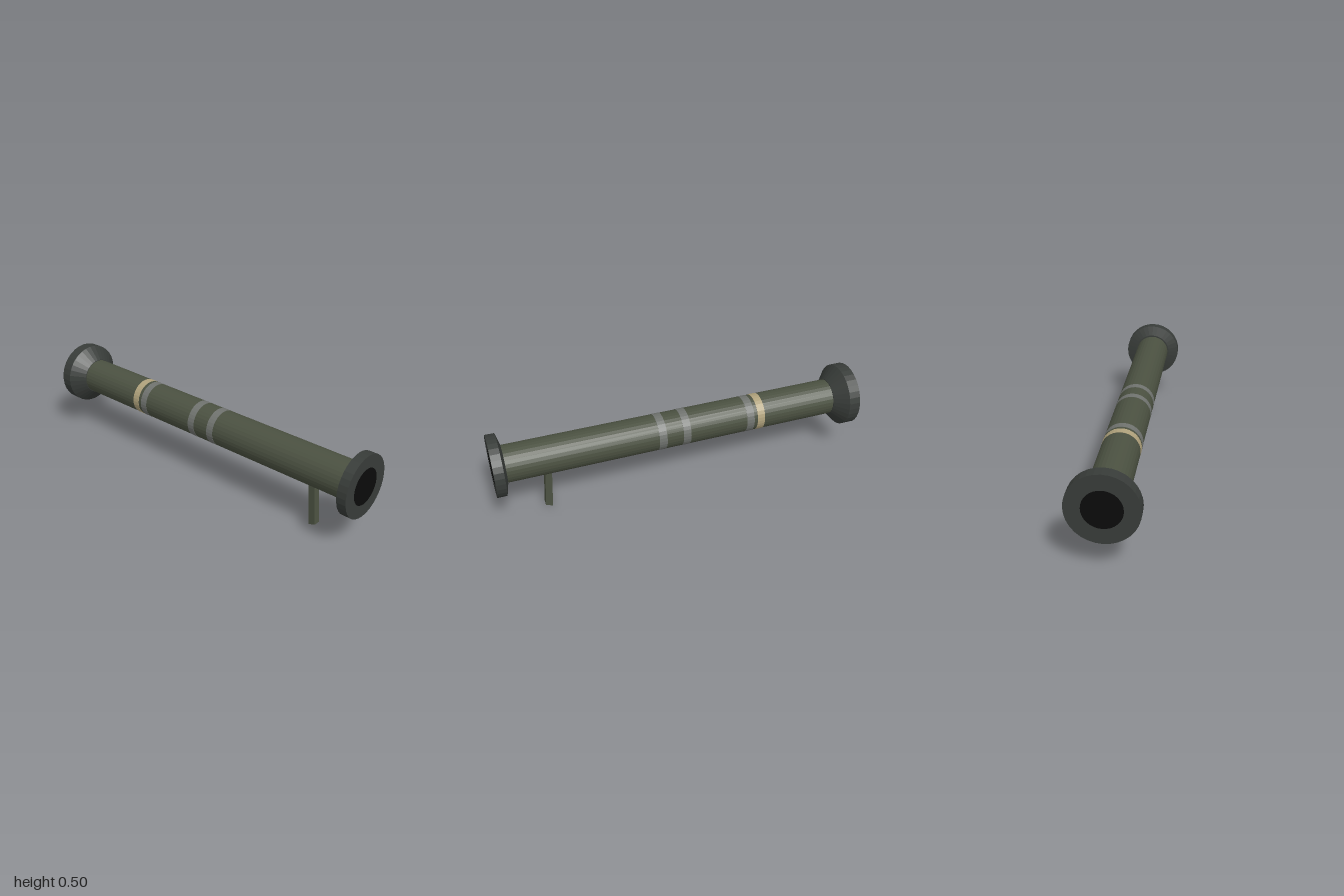
import * as THREE from 'three';

const SIDES = 32;
const AXIS_Y = 0.325;

const paint = (color) => new THREE.MeshStandardMaterial({ color, flatShading: true });

export function createModel() {
  const model = new THREE.Group();
  const olive = paint(0x4b5141);
  const charcoal = paint(0x383c39);
  const grey = paint(0x70736f);
  const tan = paint(0xb0a27c);
  const black = paint(0x0b0b0b);

  // Everything on the barrel is turned about one axis, which then points along +z
  const barrel = new THREE.Group();
  barrel.name = 'barrel';
  barrel.rotation.x = Math.PI / 2;
  barrel.position.y = AXIS_Y;
  model.add(barrel);

  // Lathed part from [radius, z] pairs, listed from back to front
  const turned = (name, material, profile) => {
    const points = profile.map(([r, z]) => new THREE.Vector2(r, z));
    const mesh = new THREE.Mesh(new THREE.LatheGeometry(points, SIDES), material);
    mesh.name = name;
    barrel.add(mesh);
  };

  turned('tube', olive, [[0.097, -0.9], [0.097, 0.95]]);

  // Flared ends, with the bore opening left free
  turned('rearFlare', charcoal, [[0.094, -1], [0.17, -1], [0.17, -0.938], [0.1, -0.875], [0.096, -0.875]]);
  turned('frontFlange', charcoal, [[0.096, 0.935], [0.105, 0.935], [0.161, 0.95], [0.161, 1], [0.094, 1]]);

  // Dark bore at each end
  for (const [name, end] of [['frontBore', 1], ['rearBore', -1]]) {
    const disc = new THREE.Mesh(new THREE.CircleGeometry(0.095, SIDES), black);
    disc.name = name;
    disc.position.y = end * 0.9995;
    disc.rotation.x = -end * Math.PI / 2;
    barrel.add(disc);
  }

  // Painted bands
  const bands = [[0.12, grey], [-0.013, grey], [-0.376, grey], [-0.437, tan]];
  bands.forEach(([z, material], i) => {
    turned(`band${i + 1}`, material, [[0.097, z - 0.021], [0.0982, z - 0.021], [0.0982, z + 0.021], [0.097, z + 0.021]]);
  });

  // Front leg: leans forward at the foot, with a bevelled sole
  const side = new THREE.Shape([
    new THREE.Vector2(0.721, 0),
    new THREE.Vector2(0.757, 0.012),
    new THREE.Vector2(0.737, 0.25),
    new THREE.Vector2(0.702, 0.25),
  ]);
  const legGeometry = new THREE.ExtrudeGeometry(side, { depth: 0.038, bevelEnabled: false });
  legGeometry.translate(0, 0, -0.019);
  legGeometry.rotateY(-Math.PI / 2);
  const leg = new THREE.Mesh(legGeometry, olive);
  leg.name = 'frontLeg';
  model.add(leg);

  return model;
}
